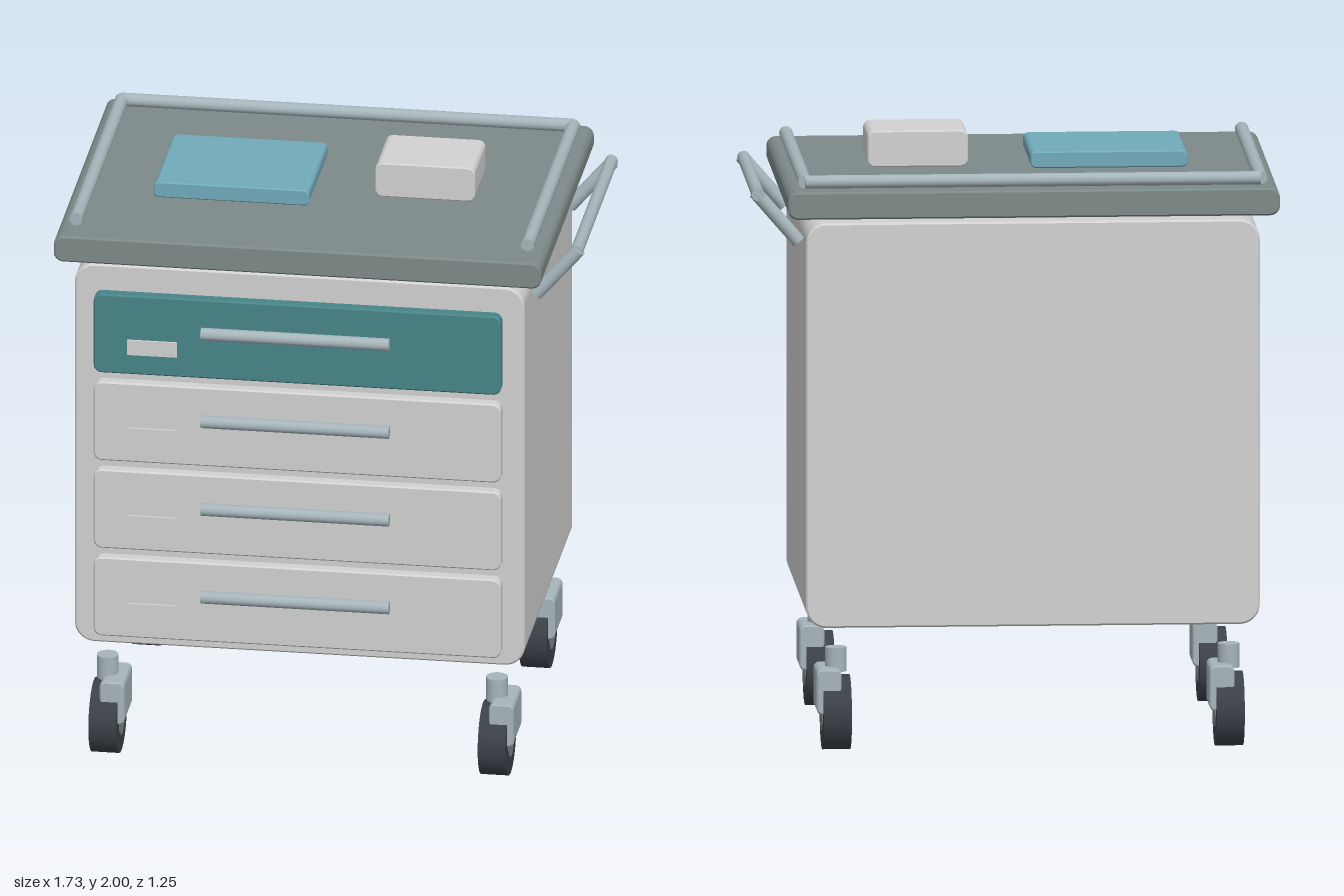
import * as THREE from 'three';

const mat = (name, color) => {
  const m = new THREE.MeshStandardMaterial({ color });
  m.name = name;
  return m;
};

export function createModel() {
  const root = new THREE.Group();
  root.name = 'drawerTrolley';
  const shell = mat('light grey', 0xd1d2d1);
  const teal = mat('dark teal', 0x488587);
  const slate = mat('slate grey', 0x7d8a89);
  const metal = mat('brushed metal', 0xa6b5ba);
  const blue = mat('soft blue', 0x71aaba);
  const rubber = mat('tyre rubber', 0x3c4148);

  const add = (name, geo, material, parent = root) => {
    const m = new THREE.Mesh(geo, material);
    m.name = name;
    parent.add(m);
    return m;
  };

  // Block with a rounded front outline and a small bevel, given by its limits
  const block = (name, material, [x0, x1], [y0, y1], [z0, z1], r, bevel = 0.006, parent = root) => {
    const l = x0 + bevel, R = x1 - bevel, b = y0 + bevel, t = y1 - bevel;
    const s = new THREE.Shape();
    s.moveTo(l + r, b);
    s.lineTo(R - r, b);
    s.absarc(R - r, b + r, r, -Math.PI / 2, 0);
    s.absarc(R - r, t - r, r, 0, Math.PI / 2);
    s.absarc(l + r, t - r, r, Math.PI / 2, Math.PI);
    s.absarc(l + r, b + r, r, Math.PI, Math.PI * 1.5);
    const geo = new THREE.ExtrudeGeometry(s, {
      depth: z1 - z0 - 2 * bevel, curveSegments: 4, bevelEnabled: true,
      bevelSize: bevel, bevelThickness: bevel, bevelSegments: 1,
    });
    geo.translate(0, 0, z0 + bevel);
    return add(name, geo, material, parent);
  };

  // Round bar between two points
  const bar = (name, a, b, r, material = metal, parent = root, sides = 20) => {
    const p = new THREE.Vector3(...a), q = new THREE.Vector3(...b);
    const d = q.clone().sub(p);
    const m = add(name, new THREE.CylinderGeometry(r, r, d.length(), sides), material, parent);
    m.position.copy(p).add(q).multiplyScalar(0.5);
    m.quaternion.setFromUnitVectors(new THREE.Vector3(0, 1, 0), d.normalize());
    return m;
  };

  // Cabinet and worktop
  block('cabinet', shell, [-0.803, 0.69], [0.414, 1.76], [-0.567, 0.51], 0.06);
  block('worktop', slate, [-0.866, 0.753], [1.782, 1.873], [-0.625, 0.56], 0.026);

  // Drawers, each with a handle and a label plate
  for (let i = 0; i < 4; i++) {
    const top = 1.676 - i * 0.3127;
    const drawer = new THREE.Group();
    drawer.name = 'drawer' + (i + 1);
    root.add(drawer);
    block('drawerFront', i ? shell : teal, [-0.733, 0.62], [top - 0.28, top], [0.519, 0.561], 0.022, 0.005, drawer);
    bar('drawerHandle', [-0.369, top - 0.103, 0.604], [0.256, top - 0.103, 0.604], 0.021, metal, drawer);
    const label = add('labelPlate', new THREE.BoxGeometry(0.166, 0.052, 0.008), shell, drawer);
    label.position.set(-0.538, top - 0.182, 0.565);
  }

  // Guard rail on the worktop
  const railY = 1.898, railR = 0.022;
  bar('guardRailBack', [-0.806, railY, -0.56], [0.694, railY, -0.56], railR);
  for (const x of [-0.806, 0.694]) bar('guardRailSide', [x, railY, -0.56], [x, railY, 0.466], railR);

  // Push handle on the side
  bar('pushHandleGrip', [0.84, 1.836, -0.43], [0.84, 1.836, 0.355], 0.021);
  for (const z of [-0.408, 0.345]) bar('pushHandleArm', [0.705, 1.676, z], [0.848, 1.842, z], 0.023);

  // Items lying on the worktop
  block('bluePad', blue, [-0.587, -0.07], [1.88, 1.935], [-0.21, 0.203], 0.014, 0.004);
  block('smallBox', shell, [0.132, 0.463], [1.88, 2.0], [-0.156, 0.09], 0.02, 0.004);

  // Casters
  for (const x of [-0.705, 0.588]) {
    for (const z of [0.432, -0.487]) {
      const caster = new THREE.Group();
      caster.name = 'caster';
      caster.position.set(x, 0, z);
      root.add(caster);
      bar('tyre', [-0.046, 0.123, 0], [0.046, 0.123, 0], 0.123, rubber, caster, 32);
      bar('hub', [-0.049, 0.123, 0], [0.049, 0.123, 0], 0.062, slate, caster, 24);
      bar('stem', [0, 0.26, 0], [0, 0.34, 0], 0.036, metal, caster);
      block('fork', metal, [-0.014, 0.068], [0.127, 0.277], [-0.09, 0.09], 0.014, 0.005, caster);
    }
  }
  return root;
}
